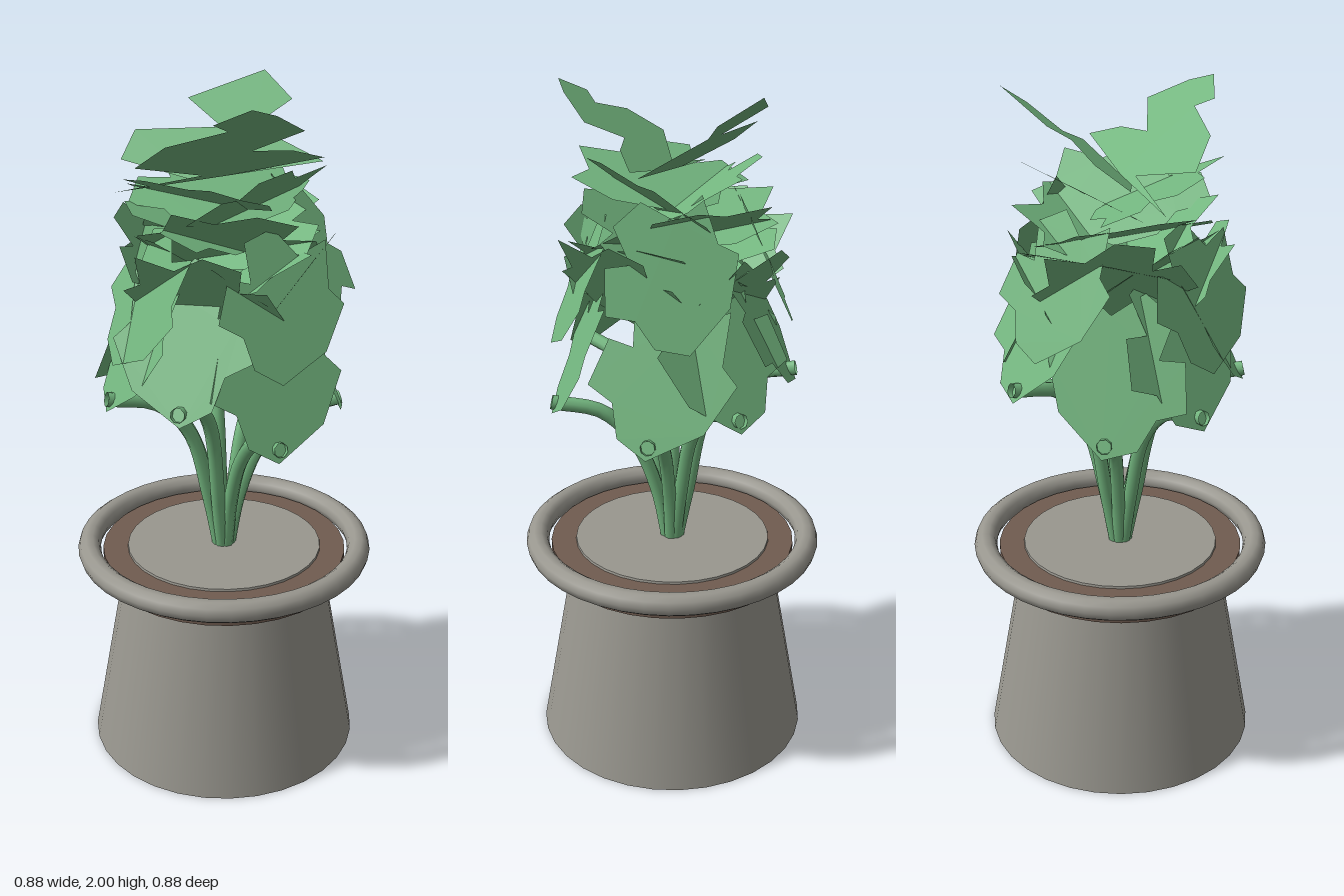
import * as THREE from 'three';

const stone = new THREE.MeshStandardMaterial({ color: 0x99978f });
stone.name = 'stone';
const earth = new THREE.MeshStandardMaterial({ color: 0x705c50 });
earth.name = 'earth';
const green = new THREE.MeshStandardMaterial({ color: 0x73b67f, side: THREE.DoubleSide });
green.name = 'leafGreen';

// Stem ends, in order around the plant
const stemEnds = [
  [0.345, 1.09, -0.05], [0.22, 1.15, -0.275], [-0.06, 1.21, -0.35], [-0.3, 1.11, -0.175],
  [-0.335, 1.16, 0.105], [-0.14, 1.2, 0.325], [0.14, 1.09, 0.32],
];

// Jagged leaf outline: half width 1, length 1
const outline = [
  [0, -0.1], [0.45, 0], [0.62, 0.22], [1, 0.3], [0.85, 0.62], [0.5, 0.6], [0.6, 0.88],
  [0.15, 1], [-0.25, 0.82], [-0.7, 0.95], [-0.75, 0.6], [-1, 0.5], [-0.7, 0.15],
];

function add(group, name, geometry, material, y = 0) {
  const mesh = new THREE.Mesh(geometry, material);
  mesh.name = name;
  mesh.position.y = y;
  group.add(mesh);
  return mesh;
}

function flatShape(points) {
  return new THREE.ShapeGeometry(new THREE.Shape(points.map(([x, y]) => new THREE.Vector2(x, y))));
}

// One leaf: facing outward at an azimuth, with positive tilt leaning its top outward
function addLeaf(group, name, azimuth, y, r, tilt, roll, halfWidth, length, flip) {
  const geometry = flatShape(outline.map(([u, v]) => [u * halfWidth * flip, v * length]));
  geometry.rotateZ(roll).rotateX(tilt).translate(0, 0, r).rotateY(azimuth);
  add(group, name, geometry, green, y);
}

// Top leaves rise away from the middle of the crown and slope up a little towards +x
function addTopLeaf(group, name, points) {
  const geometry = flatShape(points);
  const p = geometry.attributes.position;
  for (let i = 0; i < p.count; i++) {
    const x = p.getX(i), z = p.getY(i);
    p.setXYZ(i, x, 1.765 + 0.75 * Math.abs(z) + 0.14 * x, z);
  }
  geometry.computeVertexNormals();
  add(group, name, geometry, green);
}

export function createModel() {
  const model = new THREE.Group();
  model.name = 'pottedPlant';

  // Pot, soil and rim
  add(model, 'pot', new THREE.CylinderGeometry(0.29, 0.405, 0.645, 32), stone, 0.3225);
  add(model, 'soil', new THREE.CylinderGeometry(0.365, 0.365, 0.068, 32), earth, 0.604);
  add(model, 'rim', new THREE.TorusGeometry(0.406, 0.034, 10, 40).rotateX(Math.PI / 2), stone, 0.643);

  // Arching stems
  const stems = new THREE.Group();
  stems.name = 'stems';
  for (const [x, y, z] of stemEnds) {
    const at = (f, h) => new THREE.Vector3(x * f, h, z * f);
    const curve = new THREE.CatmullRomCurve3([
      at(0.04, 0.64), at(0.13, 0.8), at(0.3, y - 0.14), at(0.58, y - 0.035), at(1, y),
    ]);
    add(stems, 'stem', new THREE.TubeGeometry(curve, 18, 0.021, 8), green);
  }
  model.add(stems);

  const leaves = new THREE.Group();
  leaves.name = 'leaves';

  // Lower leaves stand on the stem ends and lean in over the stems
  stemEnds.forEach(([x, y, z], i) => {
    addLeaf(leaves, 'lowerLeaf', Math.atan2(x, z), y, 0.335, -0.38 - 0.06 * (i % 3),
      0.15 * ((i % 3) - 1), 0.2, 0.42, i % 2 ? 1 : -1);
  });

  // Middle leaves alternate between leaning in and leaning out
  for (let i = 0; i < 8; i++) {
    const out = i % 2;
    addLeaf(leaves, 'middleLeaf', 0.45 + i * 0.785, 1.31 + 0.04 * (i % 3), out ? 0.12 : 0.33,
      out ? 0.6 : -0.4, 0.2 * ((i % 3) - 1), out ? 0.22 : 0.19, out ? 0.33 : 0.38, out ? 1 : -1);
  }

  // Upper leaves rise outward from the middle, turning by the golden angle
  for (let i = 0; i < 9; i++) {
    addLeaf(leaves, 'upperLeaf', 5.3 + i * 2.4, 1.4 + 0.034 * i, -0.04, 0.9 + 0.14 * (i % 3),
      0.15 * ((i % 3) - 1), 0.26, 0.36 - 0.005 * i, i % 2 ? 1 : -1);
  }

  // Two large leaves open at the top
  addTopLeaf(leaves, 'topFrontLeaf', [
    [-0.3, 0.0], [-0.06, 0.02], [-0.24, 0.11], [-0.16, 0.19], [0, 0.22], [-0.04, 0.26],
    [0.055, 0.303], [0.12, 0.26], [0.2, 0.17], [0.07, 0.11], [0.18, 0.08], [0.27, 0.02], [0, 0],
  ]);
  addTopLeaf(leaves, 'topBackLeaf', [
    [0.27, 0], [-0.08, 0], [-0.28, -0.09], [-0.24, -0.17], [0, -0.14], [-0.09, -0.24],
    [0.13, -0.289], [0.2, -0.19], [0.09, -0.13],
  ]);
  model.add(leaves);

  return model;
}
